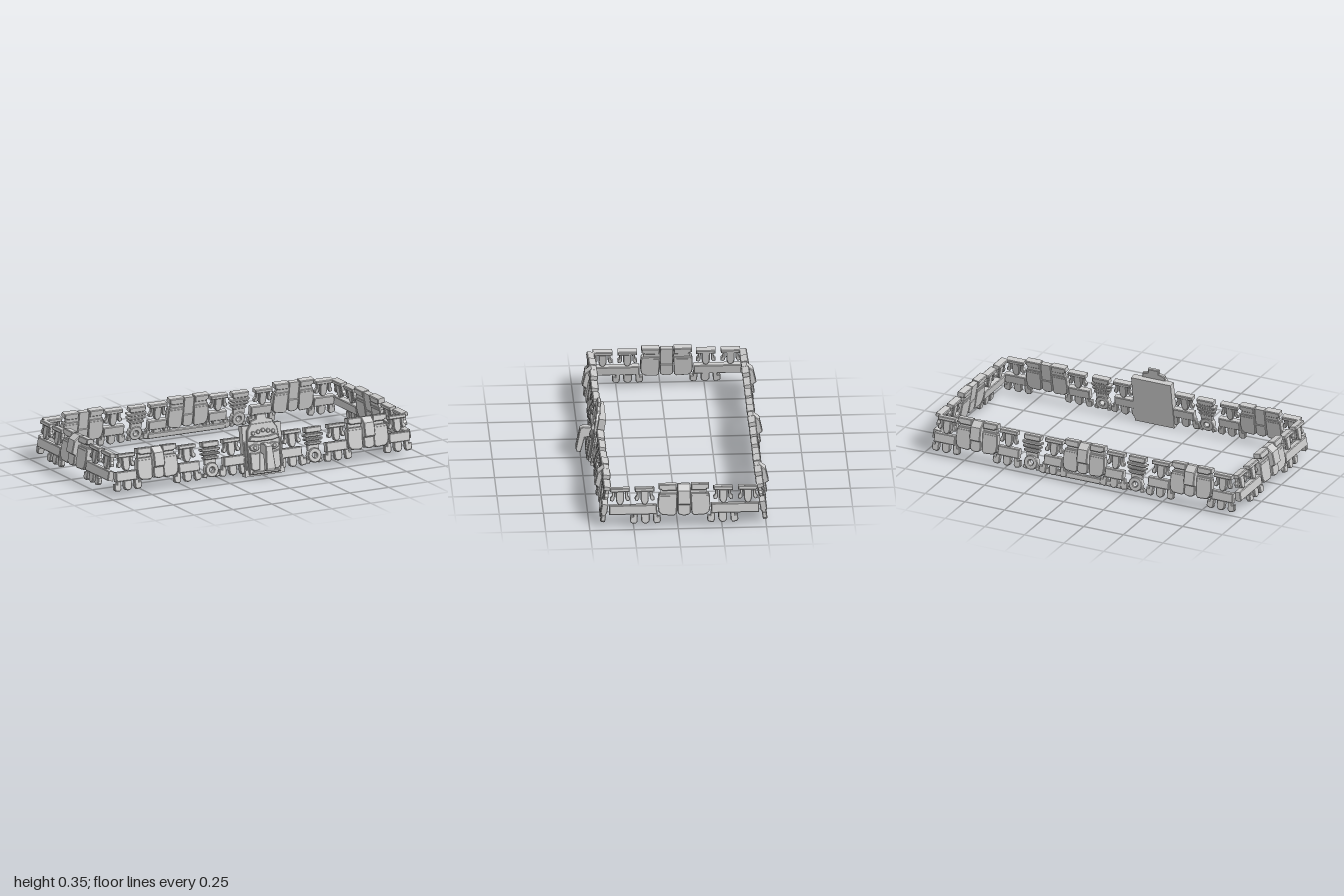
import * as THREE from 'three';

const material = new THREE.MeshStandardMaterial({ color: 0xcccccc, flatShading: true, side: THREE.DoubleSide });
const LEAN = 0.17;

function add(parent, name, geometry) {
  const mesh = new THREE.Mesh(geometry, material);
  mesh.name = name;
  parent.add(mesh);
  return mesh;
}

// Relief slab: outline in the wall plane, from depth n0 to n1 with a small chamfer
function slab(parent, name, shape, n0, n1, bevel = 0.004) {
  const g = new THREE.ExtrudeGeometry(shape, {
    depth: n1 - n0 - bevel, curveSegments: 6, bevelEnabled: bevel > 0,
    bevelThickness: bevel, bevelSize: bevel, bevelOffset: -bevel, bevelSegments: 1,
  });
  g.translate(0, 0, n0);
  return add(parent, name, g);
}

const poly = (pts, sx = 1) => new THREE.Shape(pts.map(([x, y]) => new THREE.Vector2(x * sx, y)));
const rect = (x0, x1, y0, y1) => poly([[x0, y0], [x1, y0], [x1, y1], [x0, y1]]);

// Straight-sided tongue with a rounded lower end
function lobe(x0, x1, top, bottom, round = (x1 - x0) / 2) {
  const s = new THREE.Shape();
  const m = (x0 + x1) / 2, w = (x1 - x0) / 2;
  s.moveTo(x0, top);
  s.lineTo(x0, bottom + round);
  s.absellipse(m, bottom + round, w, round, Math.PI, Math.PI * 2, false);
  s.lineTo(x1, top);
  s.closePath();
  return s;
}

// Side profile [depth, height] carried across a width
function profile(parent, name, pts, width) {
  const g = new THREE.ExtrudeGeometry(poly(pts), {
    depth: width - 0.008, bevelEnabled: true, bevelThickness: 0.004,
    bevelSize: 0.004, bevelOffset: -0.004, bevelSegments: 1,
  });
  g.translate(0, 0, -(width - 0.008) / 2);
  g.rotateY(-Math.PI / 2);
  return add(parent, name, g);
}

function at(parent, name, x) {
  const g = new THREE.Group();
  g.name = name;
  g.position.x = x;
  parent.add(g);
  return g;
}

// T-shaped ornament: cap, central tongue and two outward hooks
function tee(parent, x) {
  const g = at(parent, 'teeOrnament', x);
  slab(g, 'teeCap', rect(-0.055, 0.055, 0.21, 0.232), 0, 0.04);
  slab(g, 'teeTongue', lobe(-0.023, 0.023, 0.214, 0.132, 0.035), 0.006, 0.03);
  for (const s of [-1, 1]) {
    slab(g, 'teeHook', poly([[0.028, 0.214], [0.044, 0.214], [0.045, 0.186], [0.056, 0.172],
      [0.055, 0.157], [0.04, 0.153], [0.03, 0.167]], s), 0.006, 0.026, 0.003);
  }
}

// Three hanging teeth
function teeth(parent, x) {
  const g = at(parent, 'teeth', x);
  slab(g, 'middleTooth', lobe(-0.025, 0.025, 0.084, 0.02), 0.004, 0.026);
  for (const s of [-1, 1]) {
    slab(g, 'sideTooth', poly([[0.042, 0.084], [0.068, 0.084], [0.07, 0.062], [0.086, 0.066],
      [0.088, 0.035], [0.08, 0.024], [0.055, 0.02], [0.045, 0.032]], s), 0.004, 0.026);
  }
}

function wing(parent, s, k, barStart, barEnd) {
  tee(parent, s * 0.195 * k);
  slab(parent, 'lowerBar', rect(Math.min(s * barStart, s * barEnd), Math.max(s * barStart, s * barEnd), 0.076, 0.131), 0, 0.034);
  teeth(parent, s * 0.192 * k);
}

// Long-nosed face with a wing on either side
function face(parent, x, k, barEnd) {
  const g = at(parent, 'face', x);
  for (const s of [-1, 1]) {
    slab(g, 'brow', poly([[0.036, 0.213], [0.107, 0.213], [0.113, 0.22], [0.125, 0.222],
      [0.125, 0.25], [0.036, 0.25]], s * k), 0, 0.042);
    slab(g, 'eyelid', rect(...[s * 0.034 * k, s * 0.124 * k].sort((a, b) => a - b), 0.178, 0.195), 0, 0.035, 0.003);
    slab(g, 'eyeBacking', rect(...[s * 0.034 * k, s * 0.115 * k].sort((a, b) => a - b), 0.17, 0.22), 0, 0.018, 0);
    slab(g, 'cheek', poly([[0.033, 0.184], [0.128, 0.184], [0.131, 0.12], [0.126, 0.088],
      [0.108, 0.07], [0.05, 0.066], [0.037, 0.078]], s * k), 0, 0.036);
    wing(g, s, k, 0.135 * k, barEnd);
  }
  profile(g, 'snout', [[0, 0.248], [0.03, 0.248], [0.062, 0.215], [0.066, 0.14], [0.045, 0.13], [0, 0.13]], 0.066 * k);
  slab(g, 'chin', lobe(-0.033 * k, 0.033 * k, 0.145, 0.068, 0.02), 0, 0.046);
  return g;
}

// Stacked slabs over a pierced disc
function column(parent, x) {
  const g = at(parent, 'column', x);
  slab(g, 'columnCore', rect(-0.035, 0.035, 0.1, 0.22), 0, 0.02, 0);
  for (const [w, y0, y1] of [[0.052, 0.2, 0.232], [0.06, 0.176, 0.193], [0.056, 0.154, 0.168], [0.046, 0.13, 0.146]]) {
    slab(g, 'columnSlab', poly([[-w, y1], [-w, y0 + 0.006], [-w + 0.01, y0], [w - 0.01, y0], [w, y0 + 0.006], [w, y1]]), 0, 0.038);
  }
  const disc = new THREE.Shape().absarc(0, 0.07, 0.043, 0, Math.PI * 2);
  disc.holes.push(new THREE.Path().absarc(0, 0.07, 0.015, 0, Math.PI * 2, true));
  slab(g, 'columnDisc', disc, 0, 0.034);
  for (const s of [-1, 1]) {
    slab(g, 'columnFoot', poly([[0.025, 0.05], [0.048, 0.05], [0.054, 0.03], [0.03, 0.024]], s), 0, 0.02, 0.003);
  }
}

// Large central mask on a leaning plate
function mask(parent) {
  const g = at(parent, 'centralMask', 0);
  slab(g, 'maskPlate', rect(-0.122, 0.127, 0, 0.29), -0.006, 0.034, 0);
  slab(g, 'maskFace', poly([[-0.1, 0.01], [0.1, 0.01], [0.105, 0.19], [0.095, 0.265],
    [0.07, 0.3], [-0.07, 0.3], [-0.095, 0.265], [-0.105, 0.19]]), 0.03, 0.05);
  slab(g, 'crown', poly([[-0.075, 0.28], [0.075, 0.28], [0.07, 0.315], [0.034, 0.325],
    [0.034, 0.35], [-0.034, 0.35], [-0.034, 0.325], [-0.07, 0.315]]), 0.03, 0.048);
  slab(g, 'headband', poly([[-0.1, 0.205], [-0.05, 0.195], [0.05, 0.195], [0.1, 0.205],
    [0.08, 0.23], [0.03, 0.222], [-0.03, 0.222], [-0.08, 0.23]]), 0.045, 0.064);
  for (let i = -2; i <= 2; i++) {
    const bead = new THREE.Shape().absarc(i * 0.032, 0.257 - Math.abs(i) * 0.006, 0.012, 0, Math.PI * 2);
    slab(g, 'headBead', bead, 0.045, 0.06, 0.003);
  }
  for (const s of [-1, 1]) {
    slab(g, 'maskEye', poly([[0.03, 0.178], [0.06, 0.185], [0.095, 0.176], [0.09, 0.152], [0.065, 0.14], [0.038, 0.147]], s), 0.045, 0.06);
    slab(g, 'pupil', new THREE.Shape().absarc(s * 0.062, 0.163, 0.012, 0, Math.PI * 2), 0.055, 0.066, 0.003);
    slab(g, 'maskCheek', poly([[0.032, 0.135], [0.06, 0.13], [0.095, 0.138], [0.095, 0.045],
      [0.075, 0.03], [0.04, 0.035]], s), 0.045, 0.062);
    slab(g, 'earPanel', poly([[0.106, 0.04], [0.118, 0.04], [0.118, 0.2], [0.106, 0.2]], s), 0.03, 0.044, 0.003);
  }
  slab(g, 'mouth', rect(-0.085, 0.085, 0.012, 0.026), 0.045, 0.058, 0.003);
  // Hooked nose, broadening toward its tip
  const nose = profile(g, 'nose', [[0.045, 0.185], [0.1, 0.182], [0.118, 0.168], [0.122, 0.045],
    [0.112, 0.028], [0.09, 0.03], [0.082, 0.12], [0.045, 0.13]], 0.052);
  const p = nose.geometry.attributes.position;
  for (let i = 0; i < p.count; i++) p.setX(i, p.getX(i) * (1.15 - 3.2 * Math.max(0, p.getY(i) - 0.06)));
  nose.geometry.computeVertexNormals();
}

export function createModel() {
  const model = new THREE.Group();
  model.name = 'frieze';

  // Leaning wall facing outward at the given angle
  const wall = (name, angle, distance) => {
    const turn = new THREE.Group();
    turn.name = name;
    turn.rotation.y = angle;
    turn.position.z = -0.035;
    const lean = new THREE.Group();
    lean.name = name + 'Relief';
    lean.position.z = distance;
    lean.rotation.x = -LEAN;
    turn.add(lean);
    model.add(turn);
    return lean;
  };

  // Front and back walls
  const front = wall('frontWall', 0, 0.452);
  const back = wall('backWall', Math.PI, 0.452);
  for (const w of [front, back]) {
    for (const s of [-1, 1]) {
      face(w, s * 0.675, 1, 0.268);
      column(w, s * 0.33);
    }
  }
  mask(front);
  for (const s of [-1, 1]) wing(front, s, 1, 0.12, 0.25);
  face(back, 0, 1, 0.25);
  slab(back, 'baseBar', rect(-0.25, 0.25, 0.022, 0.056), 0, 0.022);

  // Side walls, with an extra ornament toward each corner
  for (const s of [-1, 1]) {
    const side = wall(s > 0 ? 'leftWall' : 'rightWall', s * Math.PI / 2, 0.955);
    face(side, 0, 1.14, 0.424);
    for (const e of [-1, 1]) tee(side, e * 0.362);
  }
  return model;
}
